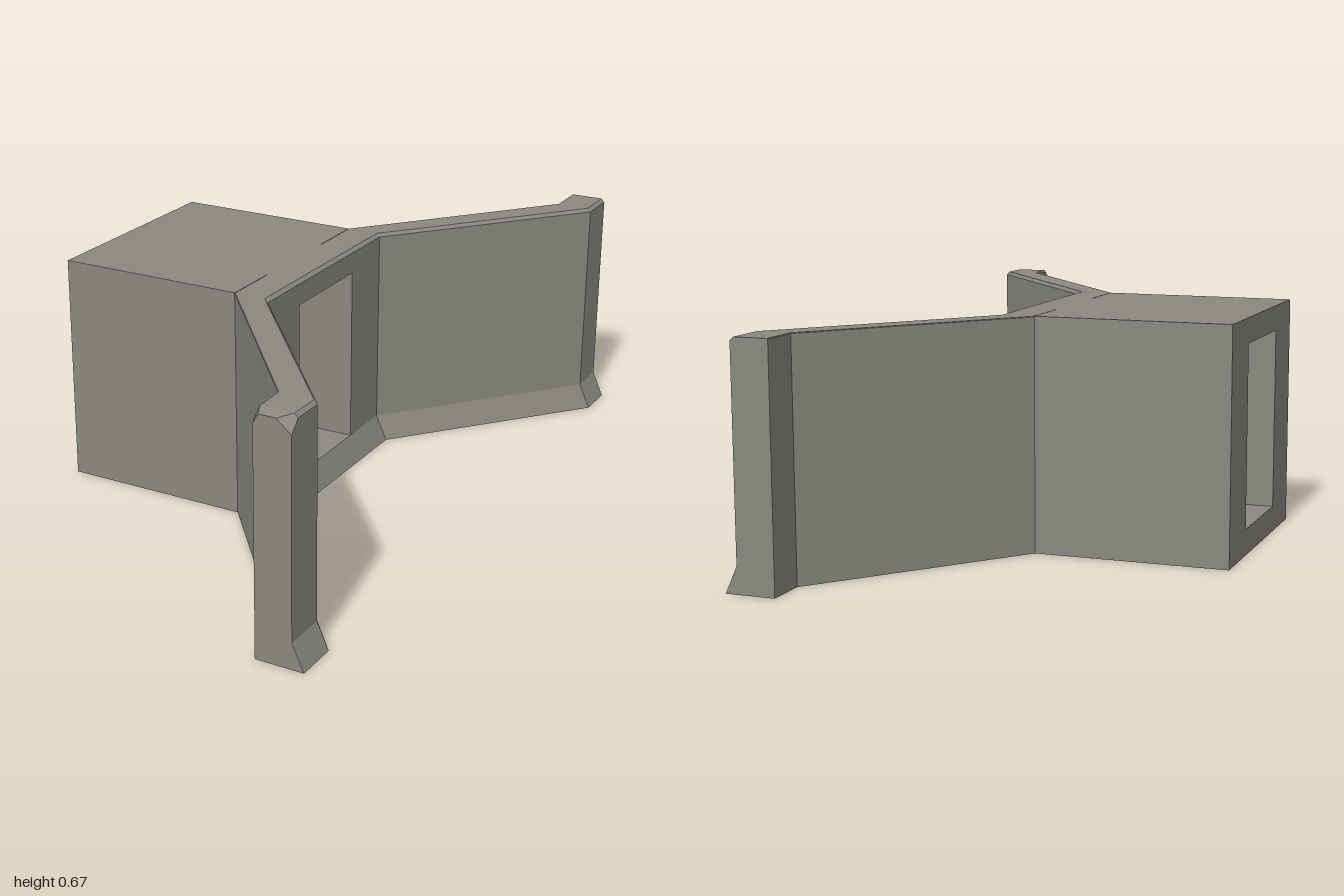
import * as THREE from 'three';

const TOP = 0.667, TOE = 0.075, HALF = 0.33, DOOR = 0.157, DOOR_TOP = 0.595;
const BACK = -0.02, FRONT = 0.085, REAR = -0.58;

// Skin between matching cross-sections [{z, pts: [[x, y], ...]}], ordered by rising z.
function loft(sections) {
  const pos = [];
  const put = (s, i) => pos.push(s.pts[i][0], s.pts[i][1], s.z);
  const n = sections[0].pts.length;
  for (let k = 0; k < sections.length - 1; k++) {
    const s = sections[k], t = sections[k + 1];
    for (let i = 0; i < n; i++) {
      const j = (i + 1) % n;
      put(s, i); put(s, j); put(t, j);
      put(s, i); put(t, j); put(t, i);
    }
  }
  // end caps fan out from the toe corner, which sees the whole outline
  const first = sections[0], last = sections[sections.length - 1];
  for (let i = 1; i < n - 1; i++) {
    const a = (2 + i) % n, b = (3 + i) % n;
    put(last, 2); put(last, a); put(last, b);
    put(first, 2); put(first, b); put(first, a);
  }
  const g = new THREE.BufferGeometry();
  g.setAttribute('position', new THREE.Float32BufferAttribute(pos, 3));
  g.computeVertexNormals();
  return g;
}

// Wall outline with a sloping toe and chamfered top corners.
function wallSection(z, xb, xf, front = [0.01, 0.01], back = [0.002, 0.002], top = TOP) {
  return {
    z,
    pts: [
      [xb, 0], [xf + 0.034, 0], [xf, TOE], [xf, top - front[1]],
      [xf - front[0], top], [xb + back[0], top], [xb, top - back[1]],
    ],
  };
}

export function createModel() {
  const model = new THREE.Group();
  const concrete = new THREE.MeshStandardMaterial({ color: 0x8a8880 });
  concrete.name = 'concrete grey';
  const add = (name, geometry) => {
    const mesh = new THREE.Mesh(geometry, concrete);
    mesh.name = name;
    model.add(mesh);
  };

  // square tunnel block with its rectangular passage
  const outline = new THREE.Shape([
    new THREE.Vector2(-HALF, 0), new THREE.Vector2(HALF, 0),
    new THREE.Vector2(HALF, TOP), new THREE.Vector2(-HALF, TOP),
  ]);
  outline.holes.push(new THREE.Path([
    new THREE.Vector2(-DOOR, TOE), new THREE.Vector2(-DOOR, DOOR_TOP),
    new THREE.Vector2(DOOR, DOOR_TOP), new THREE.Vector2(DOOR, TOE),
  ]));
  const block = new THREE.ExtrudeGeometry(outline, { depth: BACK - REAR, bevelEnabled: false });
  block.rotateY(Math.PI / 2).translate(REAR, 0, 0);
  add('tunnelBlock', block);

  // headwall piers, splayed wings and straight end posts
  add('nearWing', loft([
    wallSection(DOOR, BACK, FRONT),
    wallSection(HALF, BACK, FRONT),
    wallSection(0.875, 0.433, 0.541),
    wallSection(0.968, 0.433, 0.541, [0.01, 0.01], [0.005, 0.007]),
    wallSection(1, 0.436, 0.541, [0.041, 0.035], [0.015, 0.028], 0.66),
  ]));
  add('farWing', loft([
    wallSection(-1, 0.433, 0.541),
    wallSection(-0.88, 0.433, 0.541),
    wallSection(-HALF, BACK, FRONT),
    wallSection(-DOOR, BACK, FRONT),
  ]));

  // lintel over and sloping sill under the opening
  const span = (pts) => loft([-DOOR, DOOR].map((z) => ({ z, pts })));
  add('lintel', span([
    [BACK, DOOR_TOP], [FRONT, DOOR_TOP], [FRONT, TOP - 0.01], [FRONT - 0.01, TOP], [BACK, TOP],
  ]));
  add('sill', span([[BACK, 0], [FRONT + 0.034, 0], [FRONT, TOE], [BACK, TOE]]));

  return model;
}
